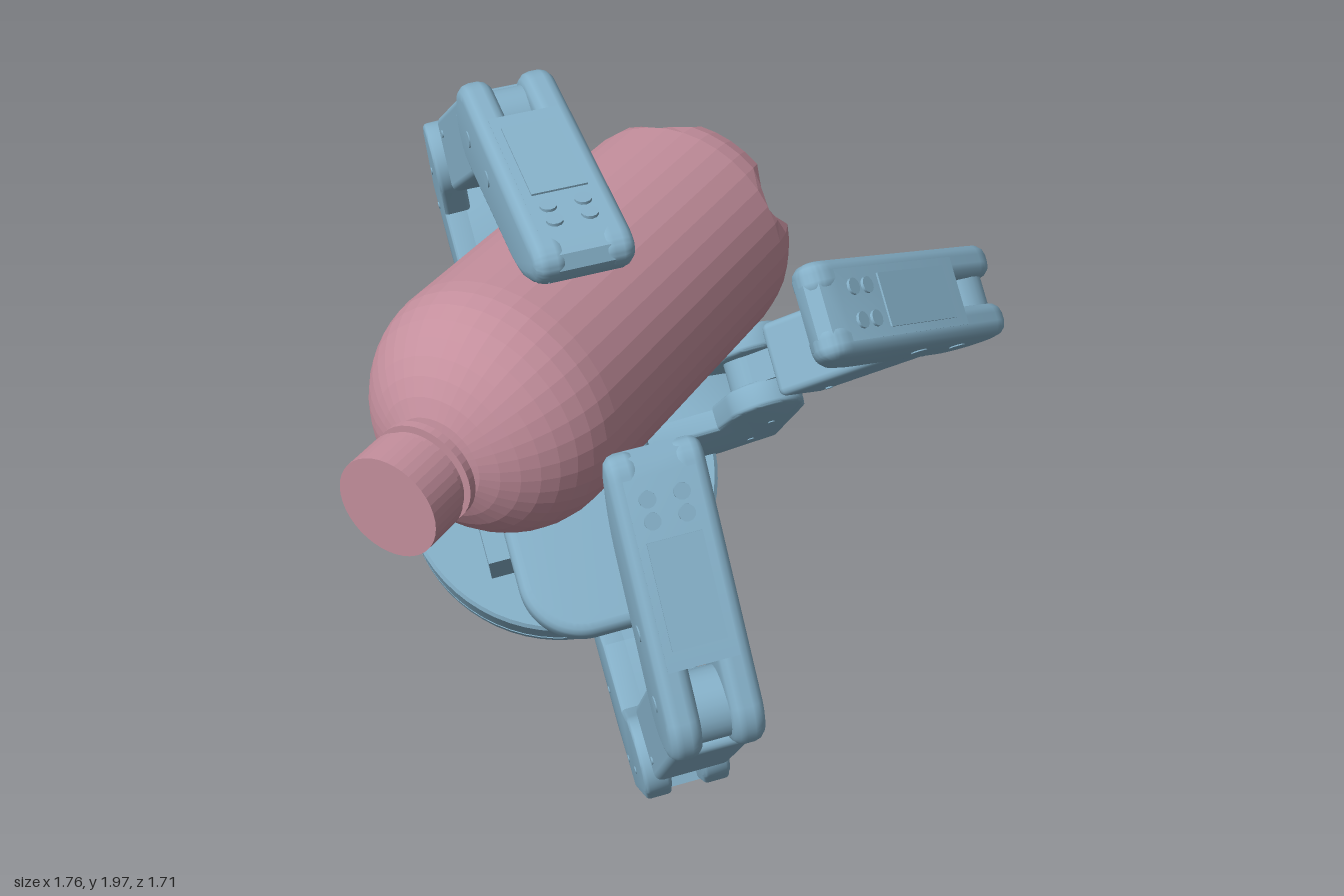
import * as THREE from 'three';
import { toCreasedNormals } from 'three/addons/utils/BufferGeometryUtils.js';
import { RoundedBoxGeometry } from 'three/addons/geometries/RoundedBoxGeometry.js';

const blue = new THREE.MeshStandardMaterial({ color: 0x85b0c8 });
const pink = new THREE.MeshStandardMaterial({ color: 0xc48f9d, flatShading: true });

function add(parent, name, geo, pos = [0, 0, 0], mat = blue) {
  const m = new THREE.Mesh(geo, mat);
  m.name = name;
  m.position.set(...pos);
  parent.add(m);
  return m;
}

// Extrudes an outline to a plate of the given width, centred on z, with bevelled rims
function plate(shape, width, bevel) {
  const g = new THREE.ExtrudeGeometry(shape, {
    depth: width - 2 * bevel, bevelEnabled: bevel > 0, bevelThickness: bevel,
    bevelSize: bevel, bevelOffset: -bevel, bevelSegments: 3, curveSegments: 12,
  });
  g.translate(0, 0, -(width - 2 * bevel) / 2);
  return toCreasedNormals(g, 0.6);
}

const polygon = (pts) => new THREE.Shape(pts.map((p) => new THREE.Vector2(...p)));

function hub(r, w) {
  return new THREE.CylinderGeometry(r, r, w, 28).rotateX(Math.PI / 2);
}

function screw(r, axis) {
  const g = new THREE.CylinderGeometry(r, r, 0.012, 12);
  return axis === 'x' ? g.rotateZ(Math.PI / 2) : g.rotateX(Math.PI / 2);
}

// Two outer cheeks with a shorter core between them, leaving a slot at the joint
function forked(parent, name, cheek, core, width, slot, bevel) {
  const t = (width - slot) / 2;
  for (const s of [-1, 1]) {
    add(parent, name + 'Cheek', plate(cheek, t, bevel), [0, 0, s * (slot + t) / 2]);
  }
  add(parent, name + 'Core', plate(core, width - 2 * bevel, 0));
}

const KNUCKLE = [0.82, 0.68];
const LINK = 0.63;

// Elbow-shaped link that leaves the palm and turns up to the first knuckle
function proximalLink(finger) {
  const g = new THREE.Group();
  g.name = 'proximalLink';
  const cheek = new THREE.Shape();
  cheek.moveTo(0.1, 0.26);
  cheek.lineTo(0.72, 0.225);
  cheek.lineTo(0.905, 0.29);
  cheek.lineTo(0.945, 0.62);
  cheek.absarc(0.83, 0.665, 0.105, -0.1, Math.PI * 0.95, false);
  cheek.lineTo(0.7, 0.59);
  cheek.lineTo(0.52, 0.57);
  cheek.lineTo(0.45, 0.49);
  cheek.lineTo(0.1, 0.49);
  const core = polygon([[0.1, 0.26], [0.72, 0.225], [0.905, 0.29], [0.929, 0.49],
    [0.7, 0.59], [0.52, 0.57], [0.45, 0.49], [0.1, 0.49]]);
  forked(g, 'proximal', cheek, core, 0.23, 0.085, 0.012);
  for (const s of [-1, 1]) {
    for (const [x, y] of [[0.62, 0.3], [0.82, 0.34], [0.86, 0.52]]) {
      add(g, 'sideScrew', screw(0.01, 'z'), [x, y, s * 0.112]);
    }
    add(g, 'elbowScrew', screw(0.014, 'x'), [0.916, 0.37, s * 0.07]);
  }
  finger.add(g);
}

// Boxy link carried by a narrow tongue that runs through both joints
function middleLink(parent) {
  add(parent, 'tongue', new THREE.BoxGeometry(0.12, LINK, 0.08), [0, LINK / 2, 0]);
  add(parent, 'middleBody', new RoundedBoxGeometry(0.2, 0.43, 0.2, 2, 0.02), [0, 0.34, 0]);
  add(parent, 'knuckleHub', hub(0.07, 0.08));
  add(parent, 'fingertipHub', hub(0.085, 0.08), [0, LINK, 0]);
  for (const s of [-1, 1]) {
    for (const y of [0.19, 0.49]) add(parent, 'linkScrew', screw(0.01, 'z'), [0.05, y, s * 0.098]);
  }
}

// Rounded fingertip with a slotted joint, a back panel and screws
function distalLink(parent) {
  const R = 0.112;
  const cheek = new THREE.Shape();
  cheek.moveTo(R, 0);
  cheek.lineTo(0.075, 0.56);
  cheek.quadraticCurveTo(0.07, 0.62, 0.025, 0.62);
  cheek.quadraticCurveTo(-0.02, 0.61, -0.05, 0.55);
  cheek.quadraticCurveTo(-0.11, 0.47, -R, 0.37);
  cheek.lineTo(-R, 0);
  cheek.absarc(0, 0, R, Math.PI, Math.PI * 2, false);
  const core = polygon([[0.105, 0.12], [0.075, 0.56], [0.058, 0.605], [0.025, 0.62], [-0.012, 0.605],
    [-0.05, 0.55], [-0.093, 0.47], [-R, 0.37], [-R, 0.12]]);
  forked(parent, 'fingertip', cheek, core, 0.23, 0.07, 0.03);
  const panel = add(parent, 'backPanel', new THREE.BoxGeometry(0.012, 0.25, 0.13), [0.092, 0.29, 0]);
  panel.rotation.z = 0.066;
  for (const s of [-1, 1]) {
    for (const y of [0.46, 0.51]) {
      add(parent, 'tipScrew', screw(0.02, 'x'), [R - 0.066 * y, y, s * 0.04]);
    }
    for (const y of [0.03, 0.2]) add(parent, 'cheekScrew', screw(0.02, 'z'), [0, y, s * 0.112]);
  }
}

// One finger: heading around the palm, base offset, sideways lean, and the bends of its outer links
function finger(hand, name, heading, offset, lean, bendMid, bendTip) {
  const turn = new THREE.Group();
  turn.name = name;
  turn.rotation.y = heading;
  const base = new THREE.Group();
  base.name = 'fingerBase';
  base.position.set(...offset);
  turn.add(base);
  proximalLink(base);

  const mid = new THREE.Group();
  mid.name = 'middleLink';
  mid.position.set(...KNUCKLE, 0);
  mid.rotation.set(lean, 0, bendMid);
  middleLink(mid);
  base.add(mid);

  const tip = new THREE.Group();
  tip.name = 'distalLink';
  tip.position.y = LINK;
  tip.rotation.z = bendTip - bendMid;
  distalLink(tip);
  mid.add(tip);
  hand.add(turn);
}

function buildHand() {
  const hand = new THREE.Group();
  hand.name = 'gripperHand';
  // Tilted frame: y leaves the palm, x and z lie in it
  const n = new THREE.Vector3(0.35, 0.75, 0.56).normalize();
  const u = new THREE.Vector3(0.588, -0.638, 0.488);
  u.addScaledVector(n, -u.dot(n)).normalize();
  const w = new THREE.Vector3().crossVectors(u, n);
  hand.quaternion.setFromRotationMatrix(new THREE.Matrix4().makeBasis(u, n, w));
  hand.position.set(-0.378, 0.402, -0.482);

  // Round wrist flange with a groove
  const rim = [[0, 0], [0.448, 0], [0.458, 0.01], [0.458, 0.055], [0.443, 0.06], [0.443, 0.078],
    [0.458, 0.083], [0.458, 0.25], [0.448, 0.26], [0, 0.26]].map((p) => new THREE.Vector2(...p));
  add(hand, 'wristFlange', toCreasedNormals(new THREE.LatheGeometry(rim, 64), 0.5));

  // Palm housing, side stub and rounded palm pad
  add(hand, 'palmHousing', new THREE.BoxGeometry(0.72, 0.34, 0.28), [0, 0.41, -0.03]);
  add(hand, 'palmStub', new THREE.BoxGeometry(0.4, 0.29, 0.3), [0.05, 0.435, 0.12]);
  const a = 0.475, b = 0.22, r = 0.17;
  const pad = new THREE.Shape();
  pad.absarc(a - r, b - r, r, 0, Math.PI / 2, false);
  pad.absarc(r - a, b - r, r, Math.PI / 2, Math.PI, false);
  pad.absarc(r - a, r - b, r, Math.PI, Math.PI * 1.5, false);
  pad.absarc(a - r, r - b, r, Math.PI * 1.5, Math.PI * 2, false);
  add(hand, 'palmPad', plate(pad, 0.13, 0.03).rotateX(Math.PI / 2), [0.04, 0.6, -0.01]);

  finger(hand, 'lowerFinger', 0, [0.02, -0.03, -0.085], -0.06, 0.07, 1.23);
  finger(hand, 'upperFinger', Math.PI, [0, 0.09, -0.025], 0.12, 0.28, 0.97);
  finger(hand, 'rearFinger', Math.PI / 2, [-0.27, 0, -0.055], 0.1, -0.81, 0.83);
  return hand;
}

function buildBottle() {
  const bottle = new THREE.Group();
  bottle.name = 'bottle';
  const pts = [[0, 0.1], [0.06, 0.07], [0.13, 0.02], [0.24, 0], [0.285, 0.03], [0.305, 0.08],
    [0.312, 0.13], [0.312, 0.98]];
  // Domed shoulder
  for (let i = 1; i <= 8; i++) {
    const t = (i / 8) * 1.2;
    pts.push([0.312 * Math.cos(t), 0.98 + 0.285 * Math.sin(t)]);
  }
  // Neck, collar and cap
  pts.push([0.09, 1.25], [0.09, 1.28], [0.125, 1.28], [0.125, 1.3], [0.09, 1.3], [0.09, 1.31],
    [0.115, 1.31], [0.115, 1.325], [0.125, 1.33], [0.125, 1.435], [0, 1.435]);
  const geo = new THREE.LatheGeometry(pts.map((p) => new THREE.Vector2(...p)), 40);
  // Five wedge-shaped notches in the foot
  const pos = geo.attributes.position;
  const notch = [1, 0.5, 0, 0, 0, 0, 0, 0.5];
  for (let i = 0; i < pos.count; i++) {
    const y = pos.getY(i);
    if (y < 0.125) pos.setY(i, y + notch[Math.floor(i / pts.length) % 8] * (0.125 - y));
  }
  geo.rotateX(Math.PI / 2).rotateZ(-0.37);
  add(bottle, 'bottleBody', geo, [0, 1.41, -0.58], pink);
  return bottle;
}

export function createModel() {
  const model = new THREE.Group();
  model.name = 'gripperHoldingBottle';
  model.add(buildHand(), buildBottle());
  return model;
}
